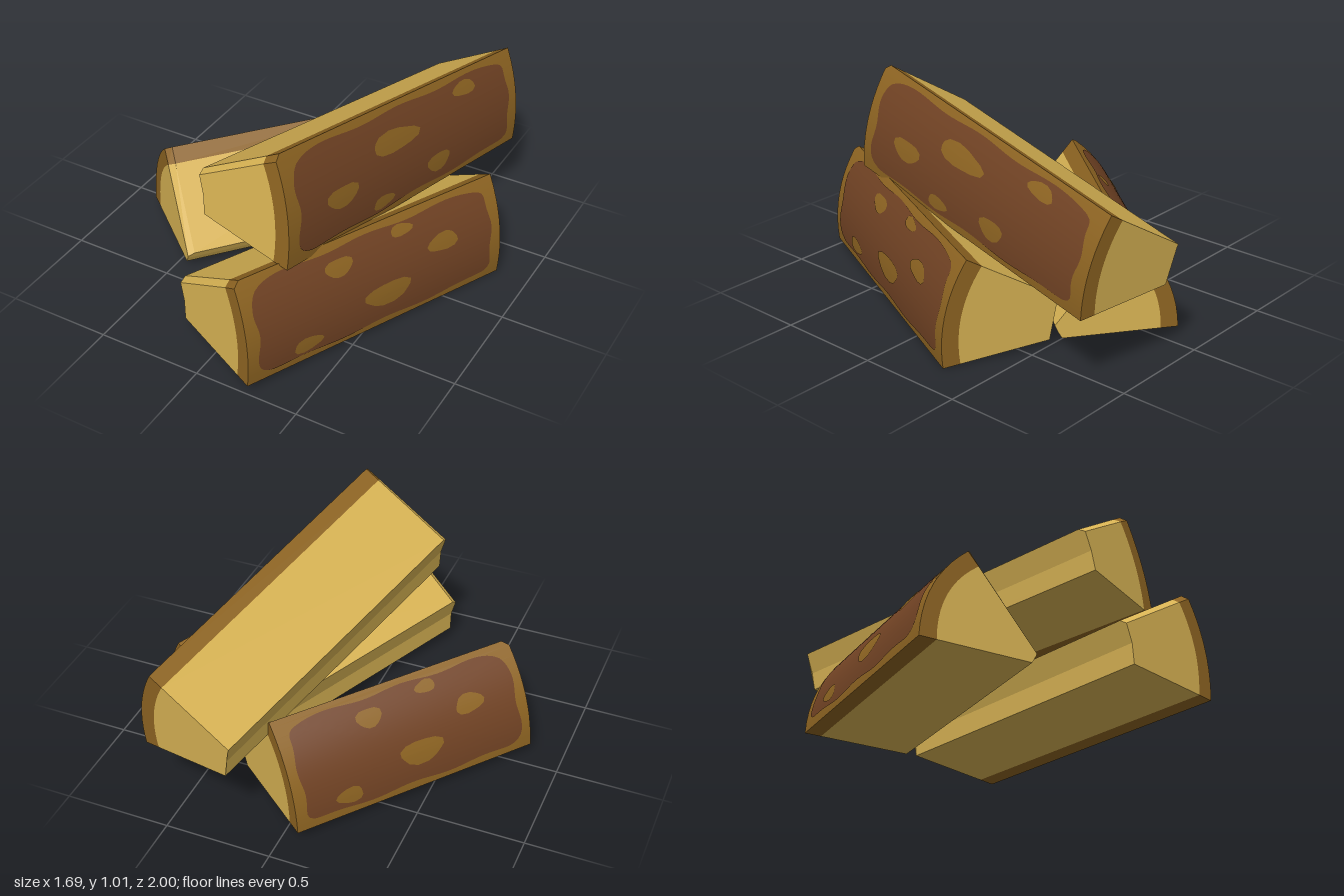
import * as THREE from 'three';

const mat = (name, color) => {
  const m = new THREE.MeshStandardMaterial({ color });
  m.name = name;
  return m;
};

const RIM = 0.08;      // bark thickness seen on cut faces
const BEVEL = 0.03;    // bevel on the front edge of the upper split face
const lerp = (a, b, t) => [a[0] + (b[0] - a[0]) * t, a[1] + (b[1] - a[1]) * t];
const towards = (a, b, d) => lerp(a, b, d / Math.hypot(b[0] - a[0], b[1] - a[1]));

// Smooth grid surface over (i, j) in 0..1
function gridGeometry(nu, nv, flip, fn) {
  const pos = [], idx = [];
  for (let j = 0; j <= nv; j++) for (let i = 0; i <= nu; i++) pos.push(...fn(i / nu, j / nv));
  for (let j = 0; j < nv; j++) for (let i = 0; i < nu; i++) {
    const a = j * (nu + 1) + i, b = a + 1, c = a + nu + 1, d = c + 1;
    idx.push(...(flip ? [a, c, b, b, c, d] : [a, b, c, b, d, c]));
  }
  const g = new THREE.BufferGeometry();
  g.setAttribute('position', new THREE.Float32BufferAttribute(pos, 3));
  g.setIndex(idx);
  g.computeVertexNormals();
  return g;
}

// Flat faced geometry from convex fans
function fanGeometry(polys, flip) {
  const pos = [];
  for (const p of polys) for (let i = 1; i < p.length - 1; i++) {
    pos.push(...p[0], ...(flip ? p[i + 1] : p[i]), ...(flip ? p[i] : p[i + 1]));
  }
  const g = new THREE.BufferGeometry();
  g.setAttribute('position', new THREE.Float32BufferAttribute(pos, 3));
  g.computeVertexNormals();
  return g;
}

// One split log: wedge section with a blunt apex and a curved bark side
function makeLog(name, o, mats) {
  const { apexTop, apexMid, apexBottom, top, bottom, bulge, length, taper, side } = o;
  const flip = side < 0;
  const group = new THREE.Group();
  group.name = name;
  const add = (part, geo, m) => {
    const mesh = new THREE.Mesh(geo, m);
    mesh.name = part;
    group.add(mesh);
  };
  const centre = lerp(lerp(top, bottom, 0.5), lerp(apexTop, apexBottom, 0.5), 0.35);
  // section point p at fraction t of the length, front to back
  const at = (p, t) => [...lerp(centre, p, 1 + (taper - 1) * t), -t * length];

  const innerTop = towards(top, apexTop, RIM), innerBottom = towards(bottom, apexBottom, RIM);
  const arc = (b, e, s, lift = 0) => {
    const du = e[0] - b[0], dv = e[1] - b[1], l = Math.hypot(du, dv);
    const n = [side * dv / l, -side * du / l], k = 4 * bulge * (1 - 2 * s);
    const h = 4 * bulge * s * (1 - s), p = lerp(b, e, s);
    const q = Math.hypot(l, k), a = lift * l / q, c = -lift * k / q;
    return [p[0] + n[0] * (h + a) + du / l * c, p[1] + n[1] * (h + a) + dv / l * c];
  };
  const outer = (s, lift) => arc(bottom, top, s, lift);
  const inner = (s) => arc(innerBottom, innerTop, s);

  const rows = [];
  for (let j = 0; j <= 10; j++) rows.push(j * 0.095);
  const r = BEVEL / length;
  const apexLow = towards(apexTop, apexMid, 0.022);
  const sE = 0.95, strip = (a, b, ta = 0, tb = 0) => [at(a, ta), at(b, tb), at(b, 1), at(a, 1)].reverse();

  // Split faces, apex, bevel and end grain
  const frontEnd = [apexMid, apexBottom, ...rows.map(inner), apexLow];
  const backEnd = [apexMid, apexBottom, ...rows.map(inner), innerTop, apexTop, apexLow];
  add('splitWood', fanGeometry([
    strip(innerTop, apexTop, r, r),
    strip(apexTop, apexLow, r, 0),
    strip(apexLow, apexMid),
    strip(apexMid, apexBottom),
    strip(apexBottom, innerBottom),
    [at(apexLow, 0), at(inner(sE), 0), at(innerTop, r), at(apexTop, r)],
    frontEnd.map((p) => at(p, 0)),
    backEnd.map((p) => at(p, 1)).reverse(),
  ], flip), mats.wood);

  // Bark thickness on the ends and split faces
  const rim = [
    strip(top, innerTop, r, r),
    strip(innerBottom, bottom),
    [at(inner(sE), 0), at(outer(sE), 0), at(top, r), at(innerTop, r)],
  ];
  const all = [...rows, 1];
  for (let j = 0; j < all.length - 1; j++) {
    const ring = [inner(all[j]), outer(all[j]), outer(all[j + 1]), inner(all[j + 1])];
    if (j < rows.length - 1) rim.push(ring.map((p) => at(p, 0)));
    rim.push(ring.map((p) => at(p, 1)).reverse());
  }
  add('barkRim', fanGeometry(rim, flip), mats.rim);
  add('barkSide', gridGeometry(1, 11, flip, (t, v) => {
    const s = all[Math.round(v * 11)];
    return at(outer(s), t === 0 && s === 1 ? r : t);
  }), mats.rim);

  // Dark bark plate with rounded, slightly wavy outline
  add('darkBark', gridGeometry(40, 20, flip, (i, j) => {
    const a = i * 2 - 1, b = j * 2 - 1, m = Math.max(Math.abs(a), Math.abs(b));
    let k = 1;
    if (m > 0) k = m / Math.pow(Math.abs(a) ** 10 + Math.abs(b) ** 10, 0.1);
    const s = 0.5 + b * k * (0.435 + 0.012 * Math.sin(a * 9 + b * 2));
    const t = 0.5 + a * k * (0.457 + 0.006 * Math.sin(b * 6 + a));
    return at(outer(s, 0.003), t);
  }), mats.bark);

  // Lighter patches where the bark has flaked: [t, s, radius t, radius s]
  o.spots.forEach(([t0, s0, rt, rs], n) => {
    const t1 = flip ? 1 - t0 : t0;
    add('barkPatch', gridGeometry(14, 3, !flip, (i, j) => {
      const w = i * Math.PI * 2;
      const k = j * (1 + 0.1 * Math.sin(w * 3 + n * 2) + 0.05 * Math.cos(w * 2 + n));
      return at(outer(s0 + rs * k * Math.sin(w), 0.006), t1 + rt * k * Math.cos(w));
    }), mats.rim);
  });

  group.rotation.order = 'YXZ';
  group.rotation.set(o.pitch, o.yaw, 0);
  group.position.set(...o.position);
  return group;
}

export function createModel() {
  const mats = {
    wood: mat('paleWood', 0xd9b454),
    rim: mat('lightBark', 0x8f6522),
    bark: mat('darkBark', 0x724324),
  };
  const spotsA = [
    [0.36, 0.77, 0.05, 0.085], [0.61, 0.86, 0.042, 0.055], [0.76, 0.6, 0.062, 0.085],
    [0.53, 0.34, 0.095, 0.105], [0.22, 0.18, 0.056, 0.07],
  ];
  const spotsB = [
    [0.21, 0.42, 0.06, 0.1], [0.44, 0.67, 0.095, 0.105], [0.76, 0.83, 0.052, 0.07],
    [0.62, 0.25, 0.052, 0.09], [0.38, 0.15, 0.045, 0.06],
  ];
  const model = new THREE.Group();
  model.name = 'firewoodPile';
  model.add(
    makeLog('lowerLeftLog', {
      apexTop: [-0.26, 0.27], apexMid: [-0.225, 0.165], apexBottom: [-0.22, 0.068],
      top: [0.17, 0.53], bottom: [0.28, 0.038], bulge: 0.045, side: 1,
      length: 1.412, taper: 1, yaw: -0.427, pitch: -0.025, position: [0, 0, 0.875], spots: spotsA,
    }, mats),
    makeLog('lowerRightLog', {
      apexTop: [0.275, 0.105], apexMid: [0.26, 0.072], apexBottom: [0.242, 0.04],
      top: [-0.035, 0.508], bottom: [-0.281, 0.055], bulge: 0.062, side: -1,
      length: 1.217, taper: 1, yaw: -0.685, pitch: -0.011, position: [-0.6275, 0, 0.262], spots: spotsA,
    }, mats),
    makeLog('upperLog', {
      apexTop: [-0.249, 0.757], apexMid: [-0.212, 0.65], apexBottom: [-0.2, 0.555],
      top: [0.18, 1.02], bottom: [0.299, 0.515], bulge: 0.038, side: 1,
      length: 1.65, taper: 0.9, yaw: -0.218, pitch: -0.113, position: [0, 0, 0.725], spots: spotsB,
    }, mats),
  );
  return model;
}
